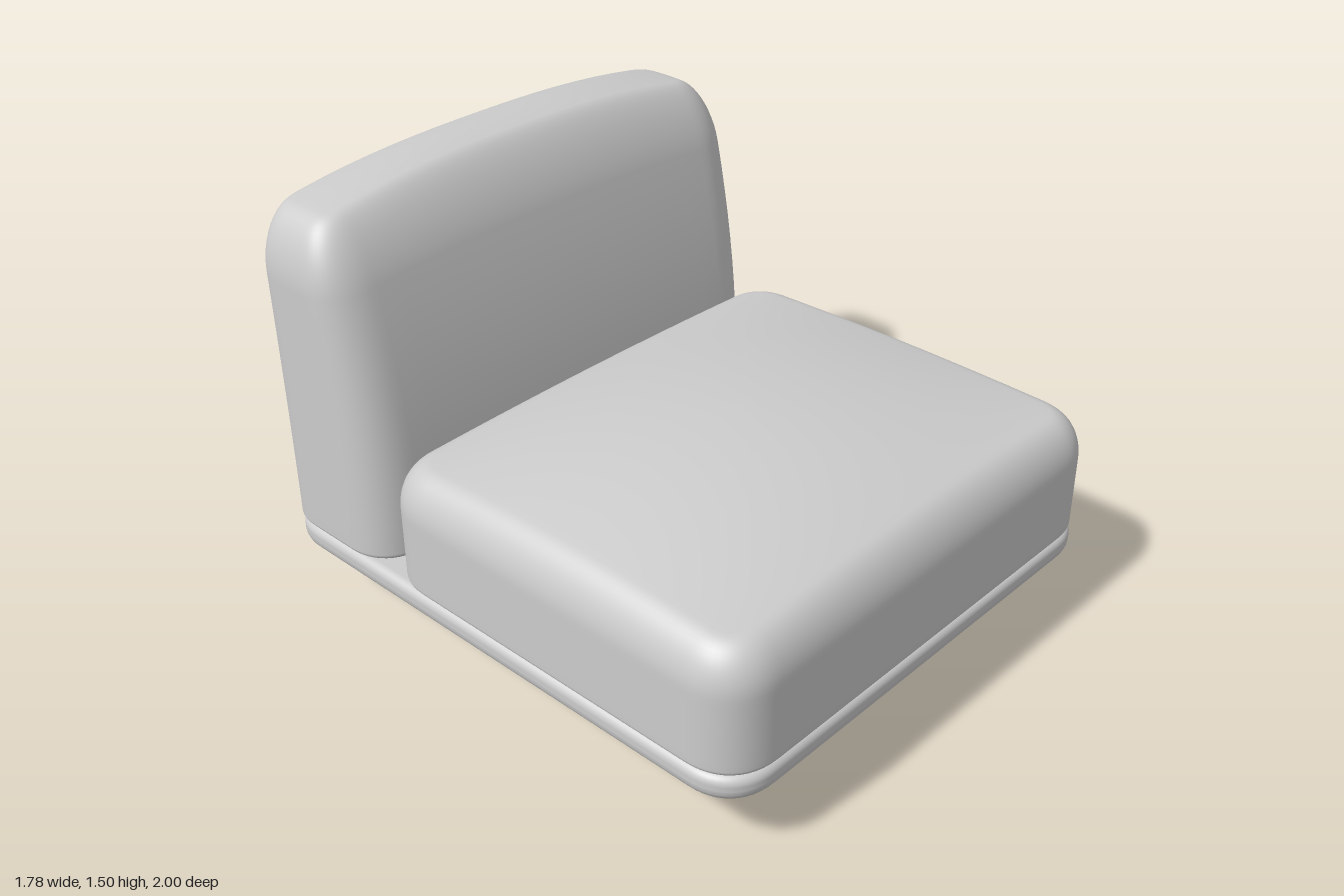
import * as THREE from 'three';

const material = new THREE.MeshStandardMaterial({ color: 0xcccccc });

// Closed rounded-rectangle outline in plan, soft corners, subdivided edges
function outline(hx, hz, r) {
  const pts = [], cornerSteps = 12, edgeSteps = 16;
  const soft = v => Math.sign(v) * Math.pow(Math.abs(v), 0.88);
  const signs = [[1, 1], [-1, 1], [-1, -1], [1, -1]];
  signs.forEach(([sx, sz], q) => {
    for (let i = 0; i <= cornerSteps; i++) {
      const a = (q + i / cornerSteps) * Math.PI / 2;
      const c = Math.abs(Math.cos(a)) < 1e-9 ? 0 : Math.cos(a);
      const s = Math.abs(Math.sin(a)) < 1e-9 ? 0 : Math.sin(a);
      pts.push([sx * (hx - r) + r * soft(c), sz * (hz - r) + r * soft(s)]);
    }
    const [nx, nz] = signs[(q + 1) % 4];
    const a = pts[pts.length - 1];
    const end = (q + 1) * Math.PI / 2;
    const b = [nx * (hx - r) + r * Math.round(Math.cos(end)), nz * (hz - r) + r * Math.round(Math.sin(end))];
    for (let i = 1; i < edgeSteps; i++) {
      const t = i / edgeSteps;
      pts.push([a[0] + (b[0] - a[0]) * t, a[1] + (b[1] - a[1]) * t]);
    }
  });
  return pts;
}

// Closed slab lofted from stacked outlines with rounded bottom and top edges.
// warp(x, y, z) returns the final position of each point.
function cushion({ hx, hz, radius, y0, y1, bottom, top, warp = (x, y, z) => [x, y, z] }) {
  const rings = [];   // [inset, y, scale]
  for (const s of [0, 0.5, 0.96]) rings.push([bottom[0], y0, s]);
  for (let i = 0; i <= 6; i++) {
    const a = i / 6 * Math.PI / 2;
    rings.push([bottom[0] * (1 - Math.sin(a)), y0 + bottom[1] * (1 - Math.cos(a)), 1]);
  }
  const ya = y0 + bottom[1], yb = y1 - top[1];
  for (let i = 1; i < 10; i++) rings.push([0, ya + (yb - ya) * i / 10, 1]);
  for (let i = 0; i <= 12; i++) {
    const a = i / 12 * Math.PI / 2;
    rings.push([top[0] * (1 - Math.cos(a)), yb + top[1] * Math.sin(a), 1]);
  }
  for (const s of [0.97, 0.92, 0.85, 0.75, 0.65, 0.55, 0.45, 0.35, 0.25, 0.15, 0.07, 0]) rings.push([top[0], y1, s]);

  const pos = [], index = [];
  let n = 0;
  rings.forEach(([inset, y, s]) => {
    const loop = outline(hx - inset, hz - inset, Math.max(radius - inset, 0.03));
    n = loop.length;
    loop.forEach(([x, z]) => pos.push(...warp(x * s, y, z * s)));
  });
  for (let i = 0; i < rings.length - 1; i++) {
    for (let j = 0; j < n; j++) {
      const a = i * n + j, b = i * n + (j + 1) % n;
      index.push(a, a + n, b, b, a + n, b + n);
    }
  }
  const g = new THREE.BufferGeometry();
  g.setAttribute('position', new THREE.Float32BufferAttribute(pos, 3));
  g.setIndex(index);
  g.computeVertexNormals();
  return g;
}

const dome = (v, half, p = 2) => 1 - Math.pow(Math.min(Math.abs(v) / half, 1), p);
const ramp = (y, a, b) => THREE.MathUtils.smoothstep(y, a, b);

export function createModel() {
  const group = new THREE.Group();
  const add = (name, geometry, x = 0, y = 0, z = 0) => {
    const mesh = new THREE.Mesh(geometry, material);
    mesh.name = name;
    mesh.position.set(x, y, z);
    group.add(mesh);
  };

  // Thin platform under both cushions
  add('base', cushion({ hx: 0.89, hz: 1, radius: 0.18, y0: 0.225, y1: 0.318, bottom: [0.045, 0.045], top: [0.03, 0.03] }));

  // Seat cushion, crowned in both directions
  add('seat', cushion({
    hx: 0.89, hz: 0.733, radius: 0.19, y0: 0.32, y1: 0.725, bottom: [0.02, 0.02], top: [0.1, 0.14],
    warp: (x, y, z) => [x, y + 0.115 * dome(x, 0.89) * dome(z, 0.733) * ramp(y, 0.45, 0.725), z],
  }), 0, 0, 0.267);

  // Backrest: upright back, front face leaning backwards, arched top
  const hz = 0.264;
  add('backrest', cushion({
    hx: 0.89, hz, radius: 0.17, y0: 0.32, y1: 1.41, bottom: [0.02, 0.02], top: [0.115, 0.2],
    warp: (x, y, z) => {
      const h = y + 0.09 * dome(x, 0.89, 2.5) * (0.6 + 0.4 * dome(z, hz)) * ramp(y, 0.6, 1.41);
      const depth = 1 - 0.2 / (2 * hz) * Math.pow((h - 0.32) / 1.18, 2);
      return [x, h, -1 + (z + hz) * depth];
    },
  }));

  // Round legs with softened feet
  const profile = [[0, 0], [0.02, 0], [0.034, 0.004], [0.044, 0.013], [0.049, 0.028], [0.05, 0.045], [0.05, 0.23]];
  const leg = new THREE.LatheGeometry(profile.map(p => new THREE.Vector2(...p)), 32);
  for (const x of [-0.593, 0.593]) {
    for (const z of [-0.703, 0.703]) {
      add((z > 0 ? 'front' : 'back') + (x > 0 ? 'Left' : 'Right') + 'Leg', leg, x, 0, z);
    }
  }
  return group;
}
